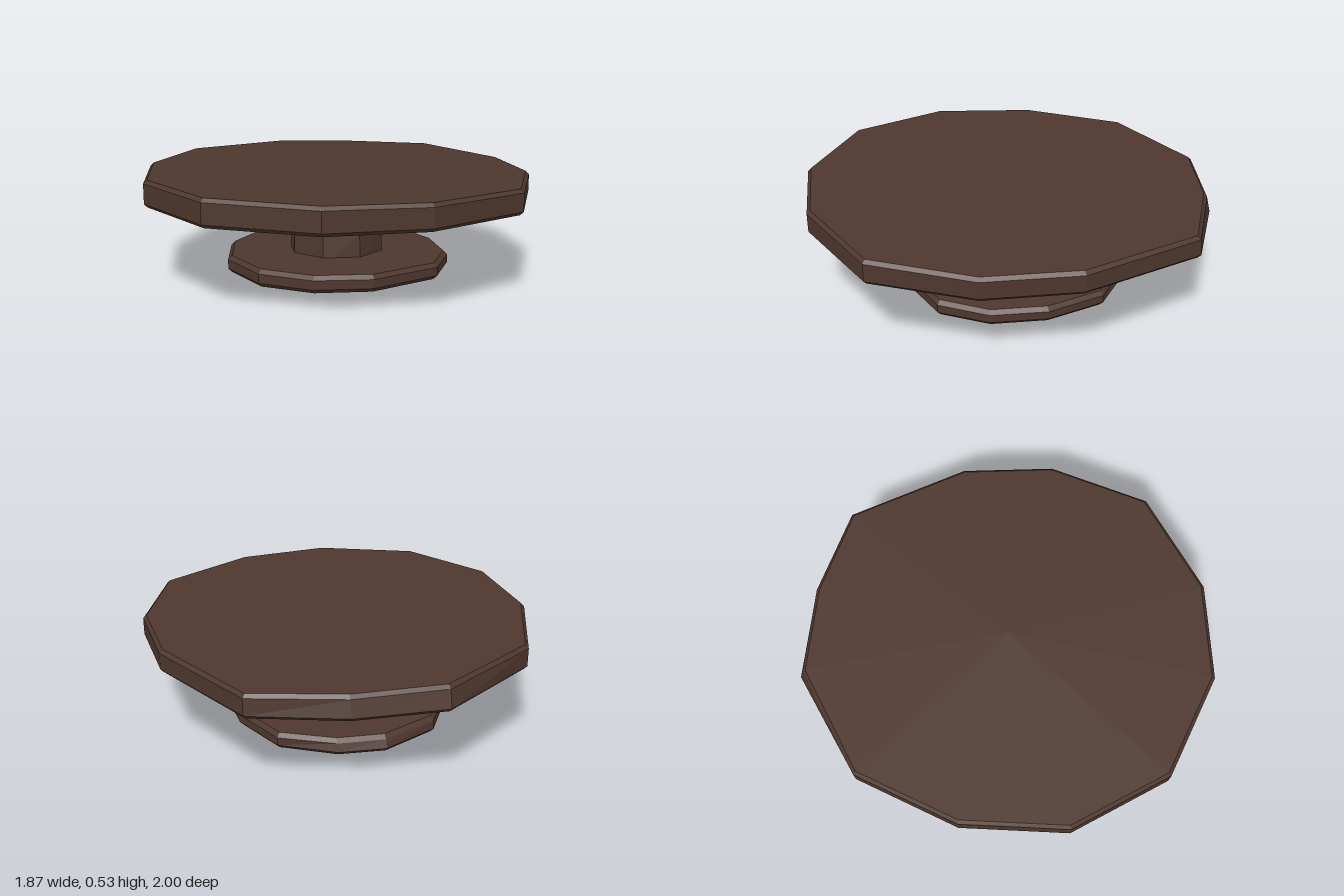
import * as THREE from 'three';

const wood = new THREE.MeshStandardMaterial({ color: 0x4e372e, flatShading: true });
wood.name = 'darkWood';

// Skin a stack of rings (bottom to top) and cap both ends.
function loft(name, rings) {
  const pos = [];
  const tri = (...pts) => pts.forEach((p) => pos.push(...p));
  const n = rings[0].length;
  const centre = (ring) => [0, 1, 2].map((k) => ring.reduce((s, p) => s + p[k], 0) / n);
  const last = rings[rings.length - 1];
  const low = centre(rings[0]), high = centre(last);
  for (let i = 0; i < n; i++) {
    const j = (i + 1) % n;
    for (let r = 0; r < rings.length - 1; r++) {
      const a = rings[r], b = rings[r + 1];
      tri(a[j], a[i], b[i]);
      tri(a[j], b[i], b[j]);
    }
    tri(low, rings[0][i], rings[0][j]);
    tri(high, last[j], last[i]);
  }
  const geo = new THREE.BufferGeometry();
  geo.setAttribute('position', new THREE.Float32BufferAttribute(pos, 3));
  geo.computeVertexNormals();
  const mesh = new THREE.Mesh(geo, wood);
  mesh.name = name;
  return mesh;
}

// Slightly tilted slab with chamfered rims; the back edge leans inward going up.
function slab(name, outline, bottomY, topY, bevel, lean) {
  const reach = Math.max(...outline.map(([, z]) => -z));
  const ring = (inset, up, dy) => outline.map(([x, z]) => {
    const r = Math.hypot(x, z), s = 1 - inset / r;
    const back = Math.max(0, -z / reach - 0.7) / 0.3;
    const y = up ? topY(x, z) : bottomY(x, z);
    return [x * s, y + dy, z * s + (up ? back * lean : 0)];
  });
  return loft(name, [
    ring(bevel, false, 0), ring(0, false, bevel),
    ring(0, true, -bevel), ring(bevel, true, 0),
  ]);
}

export function createModel() {
  const group = new THREE.Group();
  group.name = 'pedestalTable';

  // Irregular twelve-sided top
  const topOutline = [
    [-0.2, -1], [0.23, -0.965], [0.65, -0.81], [0.915, -0.24], [0.935, 0.215], [0.75, 0.695],
    [0.275, 0.965], [-0.2, 0.995], [-0.68, 0.77], [-0.935, 0.31], [-0.92, -0.205], [-0.7, -0.695],
  ];
  group.add(slab('tableTop', topOutline,
    (x, z) => 0.395 + 0.006 * z - 0.004 * x,
    (x, z) => 0.516 - 0.011 * x + 0.012 * z, 0.017, 0.022));

  // Matching smaller foot
  const baseOutline = [
    [0.44, 0.38], [0.1, 0.555], [-0.18, 0.545], [-0.42, 0.4], [-0.55, 0.12], [-0.52, -0.19],
    [-0.34, -0.48], [-0.06, -0.6], [0.17, -0.57], [0.42, -0.42], [0.54, -0.14], [0.55, 0.14],
  ];
  group.add(slab('base', baseOutline,
    (x, z) => 0.018 + 0.007 * z - 0.004 * x,
    (x, z) => 0.1 - 0.009 * x + 0.01 * z, 0.02, 0.015));

  // Crooked eight-sided column: [height, x shift, z shift, radius, twist]
  const columnRings = [
    [0.05, 0, 0, 0.24, 0], [0.22, 0.005, -0.005, 0.235, 0.03], [0.34, 0, 0.008, 0.235, 0.07], [0.42, 0, 0.015, 0.24, 0.07],
  ];
  group.add(loft('column', columnRings.map(([y, dx, dz, r, twist]) =>
    Array.from({ length: 8 }, (_, i) => {
      const a = (i + 0.5) * Math.PI / 4 + twist;
      return [dx + r * Math.cos(a), y, dz + r * Math.sin(a)];
    }))));

  // Shallow wedge under the base
  const wedge = [[0.06, 0.15], [-0.11, 0.13], [-0.09, -0.08], [0.06, -0.08]];
  group.add(loft('undersideWedge', [
    wedge.map(([x, z]) => [x * 0.9, x < 0 ? 0.012 : 0, z * 0.9]),
    wedge.map(([x, z]) => [x, 0.03, z]),
  ]));

  return group;
}
